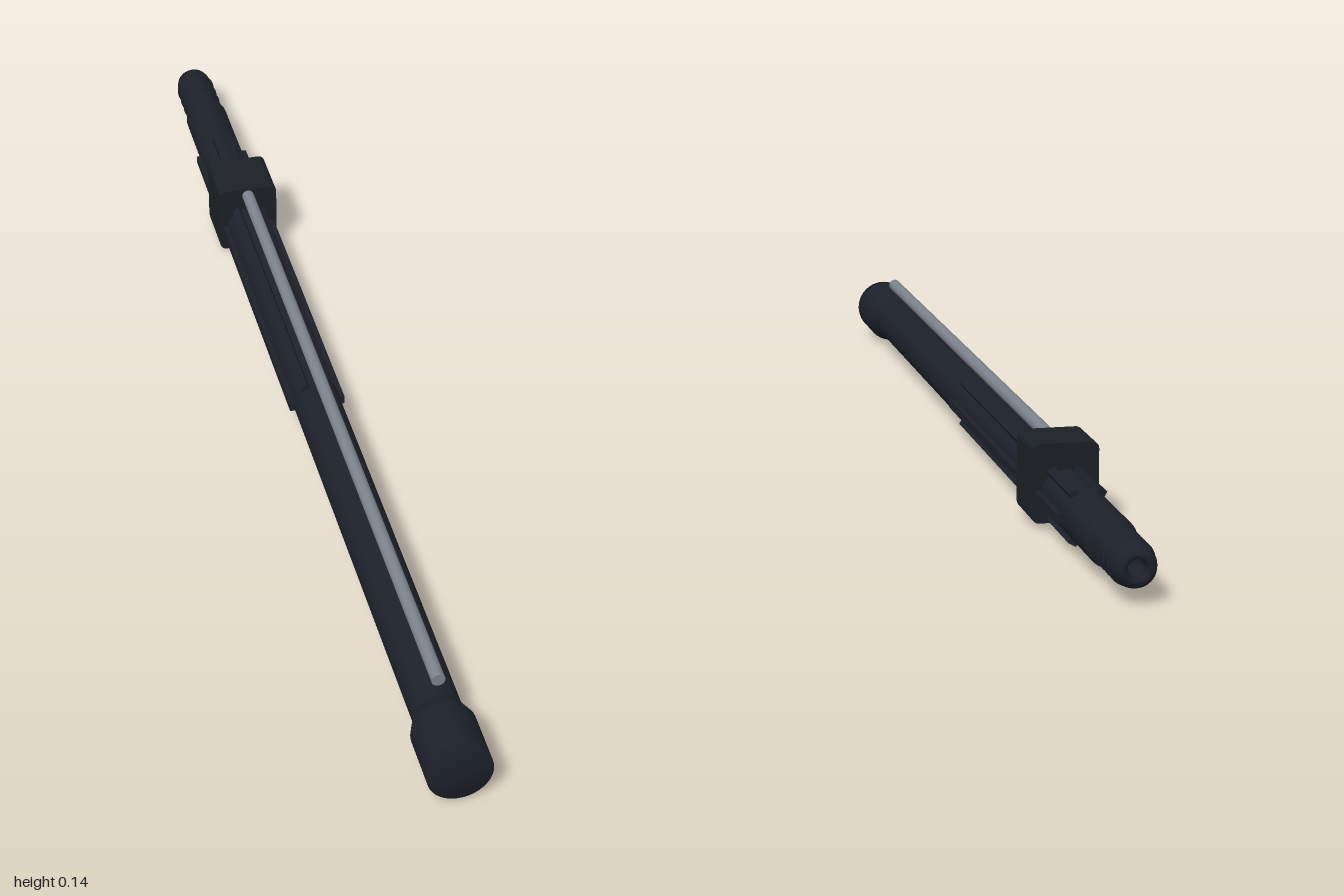
import * as THREE from 'three';

const AXIS_Y = 0.055;

export function createModel() {
  const model = new THREE.Group();
  const steel = new THREE.MeshStandardMaterial({ color: 0x1d212a });
  const blockSteel = new THREE.MeshStandardMaterial({ color: 0x1c2126 });
  const bright = new THREE.MeshStandardMaterial({ color: 0x7c838d });

  const add = (name, geometry, material, x, y, z) => {
    const mesh = new THREE.Mesh(geometry, material);
    mesh.name = name;
    mesh.position.set(x, y, z);
    model.add(mesh);
    return mesh;
  };

  // Turned part along z, from [radius, z] pairs running back to front
  const turned = (points) => new THREE.LatheGeometry(
    points.map(([r, z]) => new THREE.Vector2(r, z)), 40).rotateX(Math.PI / 2);

  // Main tube
  add('mainTube', turned([[0.034, -0.856], [0.04, -0.852], [0.04, -0.84], [0.04, 0.88]]),
    steel, 0, AXIS_Y, 0);

  // Nose with a bored, rounded end
  add('nose', turned([[0, -0.95], [0.014, -0.951], [0.014, -0.992], [0.017, -1], [0.024, -0.998],
    [0.03, -0.99], [0.033, -0.98], [0.034, -0.965], [0.034, -0.85]]), steel, 0, AXIS_Y, 0);

  // Thread rings on the nose
  for (let i = 0; i < 4; i++) {
    add('threadRing', new THREE.TorusGeometry(0.0325, 0.004, 8, 40), steel,
      0, AXIS_Y, -0.87 - i * 0.03);
  }

  // Wide front collar, tapering into the tube
  add('frontCollar', turned([[0.04, 0.872], [0.043, 0.882], [0.052, 0.905], [0.052, 0.98],
    [0.052, 1], [0, 1]]), steel, 0, AXIS_Y, 0);

  // Six long ribs around the tube
  for (let i = 0; i < 6; i++) {
    const a = i * Math.PI / 3;
    const rib = add('rib', new THREE.BoxGeometry(0.016, 0.014, 0.8), steel,
      Math.cos(a) * 0.0405, AXIS_Y + Math.sin(a) * 0.0405, -0.31);
    rib.rotation.z = a;
  }

  // Clamp block with rounded long edges
  const w = 0.054, bottom = 0.01, top = 0.138, r = 0.012;
  const outline = new THREE.Shape();
  outline.absarc(w - r, bottom + r, r, -Math.PI / 2, 0);
  outline.absarc(w - r, top - r, r, 0, Math.PI / 2);
  outline.absarc(-w + r, top - r, r, Math.PI / 2, Math.PI);
  outline.absarc(-w + r, bottom + r, r, Math.PI, Math.PI * 1.5);
  outline.closePath();
  add('clampBlock', new THREE.ExtrudeGeometry(outline,
    { depth: 0.104, bevelEnabled: false, curveSegments: 6 }), blockSteel, 0, 0, -0.57);

  // Thin rod above the tube
  add('upperRod', new THREE.CylinderGeometry(0.011, 0.011, 1.36, 24).rotateX(Math.PI / 2),
    bright, 0, 0.124, 0.19);

  // Two screws under the block
  for (const z of [-0.495, -0.541]) {
    add('screw', new THREE.CylinderGeometry(0.009, 0.009, 0.02, 20), bright, 0, 0.01, z);
  }

  return model;
}
